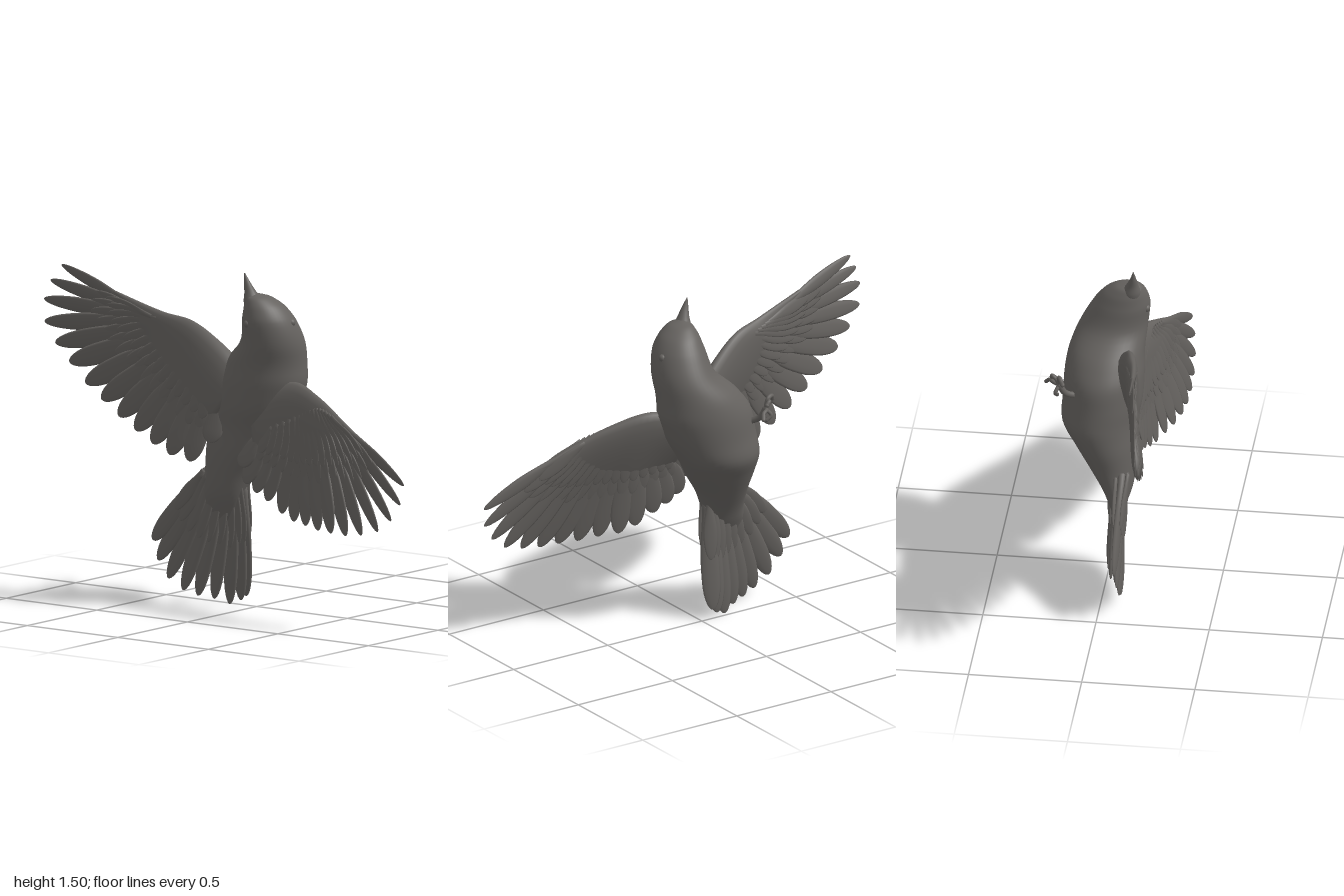
import * as THREE from 'three';

const V = (p) => new THREE.Vector3(...p);
const curve = (pts) => new THREE.CatmullRomCurve3(pts.map(V));
const plumage = new THREE.MeshStandardMaterial({ color: 0x65625f });
plumage.name = 'plumageGrey';

function add(parent, name, geometry) {
  const mesh = new THREE.Mesh(geometry, plumage);
  mesh.name = name;
  parent.add(mesh);
  return mesh;
}

// Closed skin over equal-length rings of points, turned so that it faces outward
function loft(rings) {
  const n = rings[0].length, index = [];
  const id = (i, j) => i * n + (j % n);
  for (let i = 0; i < rings.length - 1; i++)
    for (let j = 0; j < n; j++)
      index.push(id(i, j), id(i + 1, j), id(i, j + 1), id(i, j + 1), id(i + 1, j), id(i + 1, j + 1));
  for (let j = 1; j < n - 1; j++) {
    index.push(0, j, j + 1);
    index.push(id(rings.length - 1, 0), id(rings.length - 1, j + 1), id(rings.length - 1, j));
  }
  const pts = rings.flat();
  let volume = 0;
  for (let k = 0; k < index.length; k += 3)
    volume += pts[index[k]].dot(pts[index[k + 1]].clone().cross(pts[index[k + 2]]));
  if (volume < 0) index.reverse();
  const g = new THREE.BufferGeometry().setFromPoints(pts);
  g.setIndex(index);
  g.computeVertexNormals();
  return g;
}

// Skin over horizontal ellipses given as [y, centreX, centreZ, radiusX, radiusZ]
function ellipseLoft(sections, steps, sides) {
  const mid = curve(sections.map((s) => [s[1], s[0], s[2]]));
  const rad = curve(sections.map((s) => [s[3], 0, s[4]]));
  return loft(Array.from({ length: steps + 1 }, (_, i) => {
    const c = mid.getPoint(i / steps), r = rad.getPoint(i / steps);
    return Array.from({ length: sides }, (_, j) => {
      const a = (j / sides) * Math.PI * 2;
      return new THREE.Vector3(c.x + r.x * Math.cos(a), c.y, c.z + r.z * Math.sin(a));
    });
  }));
}

// One vane: a thin lens from root to tip, rolled about its shaft, tapering from `taper` to the tip
function feather(root, tip, width, roll, thick, taper = 0.72) {
  const dir = tip.clone().sub(root).normalize();
  const side = dir.clone().cross(new THREE.Vector3(0, 0, 1)).normalize().applyAxisAngle(dir, roll);
  const up = side.clone().cross(dir);
  const rings = [];
  for (let i = 0; i <= 14; i++) {
    const t = Math.sin((i / 14) * Math.PI / 2);
    const k = Math.max(0, (t - taper) / (1 - taper));
    const round = Math.sqrt(Math.max(0.001, 1 - k * k));
    const w = width * (0.4 + 0.6 * THREE.MathUtils.smoothstep(t, 0, 0.6)) * round;
    const h = thick * (1 - 0.5 * t) * round;
    const c = root.clone().lerp(tip, t);
    rings.push(Array.from({ length: 10 }, (_, j) => {
      const a = (j / 10) * Math.PI * 2;
      return c.clone().addScaledVector(side, w * Math.cos(a)).addScaledVector(up, h * Math.sin(a));
    }));
  }
  return loft(rings);
}

// Wing: fleshy arm, flight feathers fanned out to the tips, and two rows of coverts on both faces
function wing(name, lead, roots, tips, roll) {
  const g = new THREE.Group();
  g.name = name;
  const leadCurve = curve(lead), rootCurve = curve(roots), tipCurve = curve(tips);
  const along = (u, t) => rootCurve.getPoint(u).lerp(tipCurve.getPoint(u), t);

  const rings = [];
  for (let i = 0; i <= 24; i++) {
    const s = i / 24, front = leadCurve.getPoint(s), back = along(1 - s, 0.38);
    const thick = 0.055 * (1 - s) + 0.009;
    rings.push(Array.from({ length: 18 }, (_, j) => {
      const a = (j / 18) * Math.PI * 2, f = (1 - Math.cos(a)) / 2;
      const p = front.clone().lerp(back, f);
      p.z += thick * Math.sin(a) * (1.15 - 0.85 * f);
      return p;
    }));
  }
  add(g, 'wingArm', loft(rings));

  tips.forEach((tip, i) => {
    const u = i / (tips.length - 1);
    const open = Math.min(1, u * 2.5);
    add(g, 'flightFeather',
      feather(rootCurve.getPoint(u), V(tip), 0.03 + 0.019 * open, roll, 0.012, 0.5 + 0.2 * open));
  });

  const n = 16;
  for (const face of [1, -1]) {
    for (const [from, to, width, lift] of [[0.05, 0.56, 0.032, 0.009], [-0.1, 0.4, 0.03, 0.016]]) {
      for (let i = 0; i < n; i++) {
        const u = 0.06 + (0.86 * i) / (n - 1);
        const a = along(u, from), b = along(u, to);
        a.z += face * lift;
        b.z += face * lift * 0.75;
        add(g, 'covertFeather', feather(a, b, width, roll, 0.007, 0.6));
      }
    }
  }
  return g;
}

function tube(parent, name, pts, radius) {
  add(parent, name, new THREE.TubeGeometry(curve(pts), 14, radius, 8));
  const ball = add(parent, name + 'End', new THREE.SphereGeometry(radius, 8, 6));
  ball.position.set(...pts[pts.length - 1]);
}

export function createModel() {
  const bird = new THREE.Group();
  bird.name = 'flyingBird';

  // Body and head in one smooth skin
  add(bird, 'body', ellipseLoft([
    [0.37, -0.18, 0.06, 0.06, 0.008], [0.43, -0.165, 0.056, 0.088, 0.038], [0.5, -0.145, 0.05, 0.102, 0.068],
    [0.6, -0.12, 0.025, 0.122, 0.106], [0.7, -0.09, -0.005, 0.16, 0.141], [0.8, -0.06, -0.035, 0.19, 0.17],
    [0.9, -0.025, -0.028, 0.21, 0.176], [1.0, 0.003, -0.025, 0.218, 0.176], [1.1, 0.04, -0.018, 0.187, 0.166],
    [1.2, 0.094, 0.008, 0.137, 0.148], [1.3, 0.096, 0.04, 0.113, 0.125], [1.36, 0.084, 0.056, 0.086, 0.095],
    [1.4, 0.066, 0.072, 0.05, 0.058], [1.415, 0.056, 0.08, 0.012, 0.014],
  ], 60, 40));

  // Beak
  add(bird, 'beak', ellipseLoft([
    [1.33, 0.062, 0.08, 0.05, 0.05], [1.38, 0.048, 0.086, 0.043, 0.044],
    [1.42, 0.036, 0.092, 0.027, 0.027], [1.46, 0.023, 0.098, 0.016, 0.014], [1.503, 0.01, 0.1, 0.002, 0.002],
  ], 16, 18));

  // Eyes
  for (const [x, y, z] of [[0.065, 1.29, 0.15], [0.2, 1.29, 0.012]]) {
    const eye = add(bird, 'eye', new THREE.SphereGeometry(0.018, 16, 12));
    eye.position.set(x, y, z);
  }

  // Wings: tips run from the outermost feather inward
  bird.add(wing('leftWing',
    [[0.04, 0.97, 0.02], [0.24, 1.035, 0.04], [0.41, 0.995, 0.092], [0.57, 0.925, 0.145], [0.74, 0.835, 0.185]],
    [[0.6, 0.895, 0.158], [0.46, 0.9, 0.13], [0.31, 0.86, 0.105], [0.1, 0.8, 0.09]],
    [[0.995, 0.68, 0.238], [0.985, 0.595, 0.25], [0.94, 0.52, 0.258], [0.87, 0.465, 0.262], [0.78, 0.44, 0.262],
      [0.69, 0.427, 0.256], [0.6, 0.427, 0.245], [0.51, 0.427, 0.222], [0.42, 0.435, 0.195], [0.33, 0.44, 0.165],
      [0.25, 0.465, 0.148], [0.16, 0.51, 0.135], [0.09, 0.54, 0.13], [0.03, 0.575, 0.128], [0.0, 0.65, 0.125]], 0.2));
  bird.add(wing('rightWing',
    [[0.02, 1.03, 0.05], [-0.12, 1.17, 0.085], [-0.26, 1.265, 0.12], [-0.4, 1.295, 0.15], [-0.64, 1.365, 0.18]],
    [[-0.52, 1.295, 0.165], [-0.4, 1.22, 0.14], [-0.28, 1.1, 0.125], [-0.12, 0.93, 0.11]],
    [[-0.925, 1.455, 0.2], [-0.97, 1.385, 0.22], [-0.998, 1.3, 0.23], [-0.995, 1.2, 0.23], [-0.94, 1.11, 0.225],
      [-0.87, 1.03, 0.215], [-0.785, 0.945, 0.21], [-0.7, 0.88, 0.205], [-0.61, 0.815, 0.2], [-0.52, 0.76, 0.195],
      [-0.43, 0.71, 0.19], [-0.34, 0.67, 0.185], [-0.24, 0.65, 0.175], [-0.14, 0.74, 0.155]], -0.2));

  // Fanned tail
  const tail = new THREE.Group();
  tail.name = 'tail';
  bird.add(tail);
  const tailTips = [[-0.515, 0.26, 0.08], [-0.48, 0.175, 0.088], [-0.42, 0.1, 0.092], [-0.34, 0.055, 0.09],
    [-0.27, 0.035, 0.074], [-0.2, 0.025, 0.048], [-0.135, 0.005, 0.02], [-0.085, 0.025, 0.005], [-0.06, 0.045, 0]];
  tailTips.forEach((tip, i) => {
    const u = i / (tailTips.length - 1);
    const root = new THREE.Vector3(-0.215 + 0.17 * u, 0.6 - 0.03 * u, 0.078 - 0.04 * u);
    add(tail, 'tailFeather', feather(root, V(tip), 0.045, 0.18, 0.018));
    // Shorter feathers over the tail base
    for (const lift of [0.026, -0.026]) {
      const a = root.clone(), b = root.clone().lerp(V(tip), 0.55);
      a.z += lift;
      b.z += lift * 0.55;
      add(tail, 'tailCovert', feather(a, b, 0.034, 0.18, 0.01, 0.6));
    }
  });

  // Curled foot tucked against the belly
  const foot = new THREE.Group();
  foot.name = 'foot';
  bird.add(foot);
  tube(foot, 'leg', [[-0.15, 0.95, -0.12], [-0.19, 0.985, -0.175], [-0.2, 1.03, -0.2]], 0.014);
  tube(foot, 'toe', [[-0.2, 1.03, -0.2], [-0.215, 1.075, -0.2], [-0.24, 1.08, -0.19], [-0.25, 1.06, -0.18]], 0.01);
  tube(foot, 'toe', [[-0.2, 1.03, -0.2], [-0.205, 1.065, -0.215], [-0.2, 1.075, -0.23], [-0.185, 1.06, -0.235]], 0.01);
  tube(foot, 'toe', [[-0.2, 1.03, -0.2], [-0.185, 1.035, -0.23], [-0.16, 1.03, -0.245], [-0.145, 1.01, -0.265]], 0.009);
  tube(foot, 'backToe', [[-0.2, 1.03, -0.2], [-0.22, 1.0, -0.215], [-0.2, 0.98, -0.21]], 0.009);

  return bird;
}
